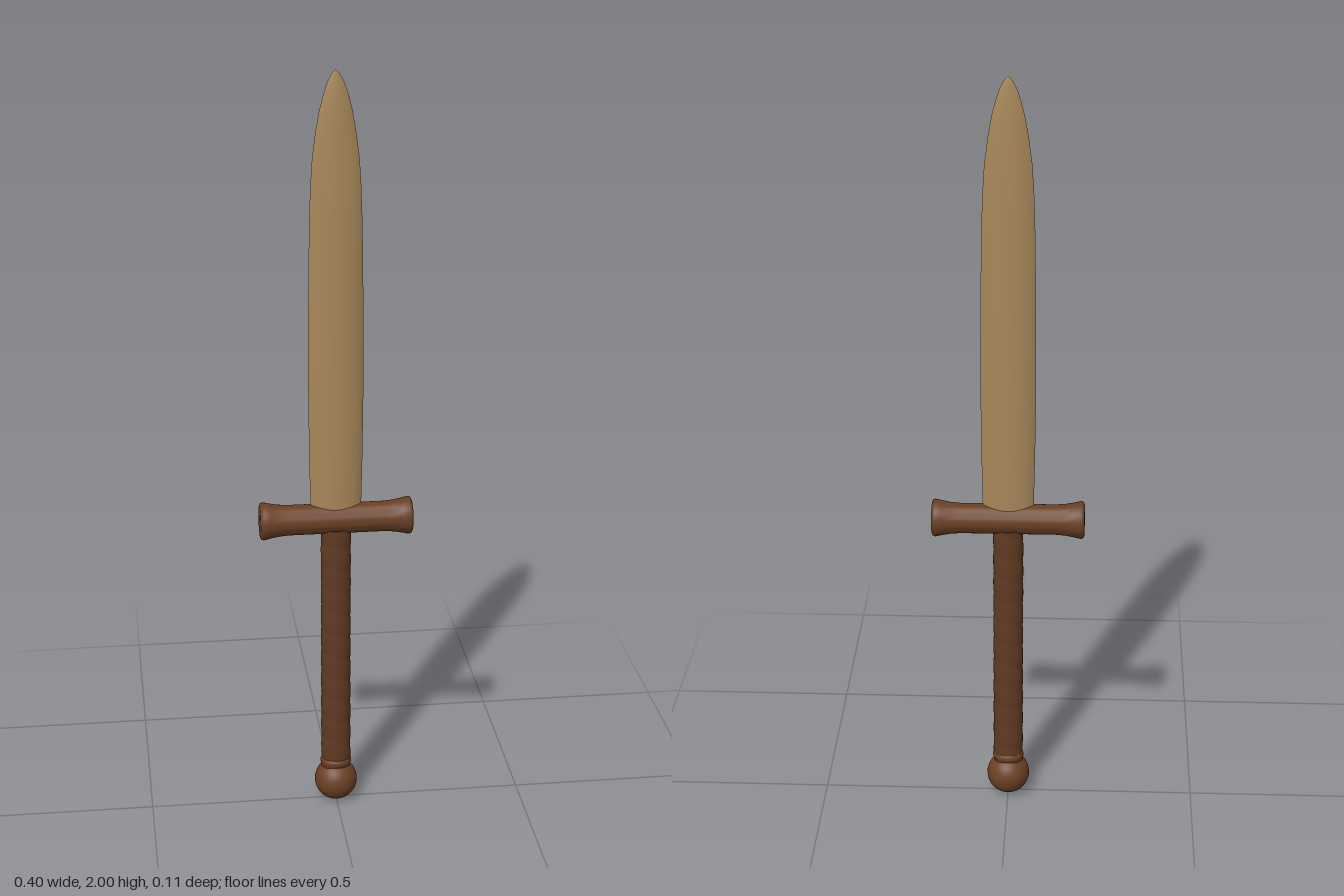
import * as THREE from 'three';
import { toCreasedNormals } from 'three/addons/utils/BufferGeometryUtils.js';

const mat = (name, color) => {
  const m = new THREE.MeshStandardMaterial({ color });
  m.name = name;
  return m;
};
const points = (list) => list.map(([r, y]) => new THREE.Vector2(r, y));

// One curved face of the blade; side is +1 for the front and -1 for the back
function bladeFace(side) {
  // height, half width, half thickness
  const sections = [
    [0.85, 0.066, 0.023], [1.0, 0.069, 0.023], [1.2, 0.071, 0.023], [1.4, 0.07, 0.022],
    [1.6, 0.067, 0.02], [1.7, 0.064, 0.018], [1.78, 0.059, 0.016], [1.85, 0.05, 0.014],
    [1.9, 0.041, 0.012], [1.94, 0.031, 0.009], [1.97, 0.021, 0.006], [1.99, 0.01, 0.003], [2.0, 0.001, 0.0005],
  ];
  const cols = 16;
  const geo = new THREE.PlaneGeometry(2, 1, cols, sections.length - 1);
  const pos = geo.attributes.position;
  for (let i = 0; i < pos.count; i++) {
    const u = pos.getX(i) * side;
    const [y, w, t] = sections[sections.length - 1 - Math.floor(i / (cols + 1))];
    pos.setXYZ(i, u * w, y, side * t * Math.pow(Math.max(0, 1 - u * u), 0.8));
  }
  geo.computeVertexNormals();
  return geo;
}

// Oval grip with a shallow spiral winding
function gripGeometry() {
  const y0 = 0.1, y1 = 0.8, turns = 11;
  const geo = new THREE.CylinderGeometry(1, 1, y1 - y0, 28, 132, true);
  geo.translate(0, (y0 + y1) / 2, 0);
  const pos = geo.attributes.position;
  for (let i = 0; i < pos.count; i++) {
    const x = pos.getX(i), y = pos.getY(i), z = pos.getZ(i);
    const phase = ((y - y0) / (y1 - y0)) * turns * Math.PI - Math.atan2(z, x) / 2;
    const r = 0.965 + 0.055 * Math.sqrt(Math.abs(Math.sin(phase)));
    pos.setXYZ(i, x * r * 0.039, y, z * r * 0.033);
  }
  geo.computeVertexNormals();
  return geo;
}

export function createModel() {
  const group = new THREE.Group();
  const paleWood = mat('paleWood', 0xa8875a);
  const darkWood = mat('darkWood', 0x6b4024);
  const gripLeather = mat('gripLeather', 0x613a21);

  const add = (name, geo, material) => {
    const mesh = new THREE.Mesh(geo, material);
    mesh.name = name;
    group.add(mesh);
    return mesh;
  };

  add('bladeFront', bladeFace(1), paleWood);
  add('bladeBack', bladeFace(-1), paleWood);

  // Crossguard: a bar along x that flares at both ends
  const half = [[0.04, 0], [0.04, 0.125], [0.042, 0.15], [0.046, 0.172], [0.05, 0.19], [0.048, 0.196], [0.042, 0.199], [0, 0.2]];
  const profile = [...half.slice(1).reverse().map(([r, y]) => [r, -y]), ...half.slice(1)];
  const guardGeo = new THREE.LatheGeometry(points(profile), 32);
  guardGeo.rotateZ(-Math.PI / 2);
  guardGeo.scale(1, 1, 0.93);
  guardGeo.translate(0, 0.825, 0);
  add('crossguard', toCreasedNormals(guardGeo, 0.9), darkWood);

  add('grip', gripGeometry(), gripLeather);

  // Narrow collar between grip and pommel
  const collar = new THREE.LatheGeometry(points([[0.034, 0.098], [0.041, 0.108], [0.042, 0.116], [0.039, 0.124], [0.034, 0.126]]), 28);
  collar.scale(1, 1, 0.88);
  add('collar', collar, darkWood);

  const pommel = new THREE.SphereGeometry(0.057, 32, 20);
  pommel.translate(0, 0.057, 0);
  add('pommel', pommel, darkWood);

  return group;
}
